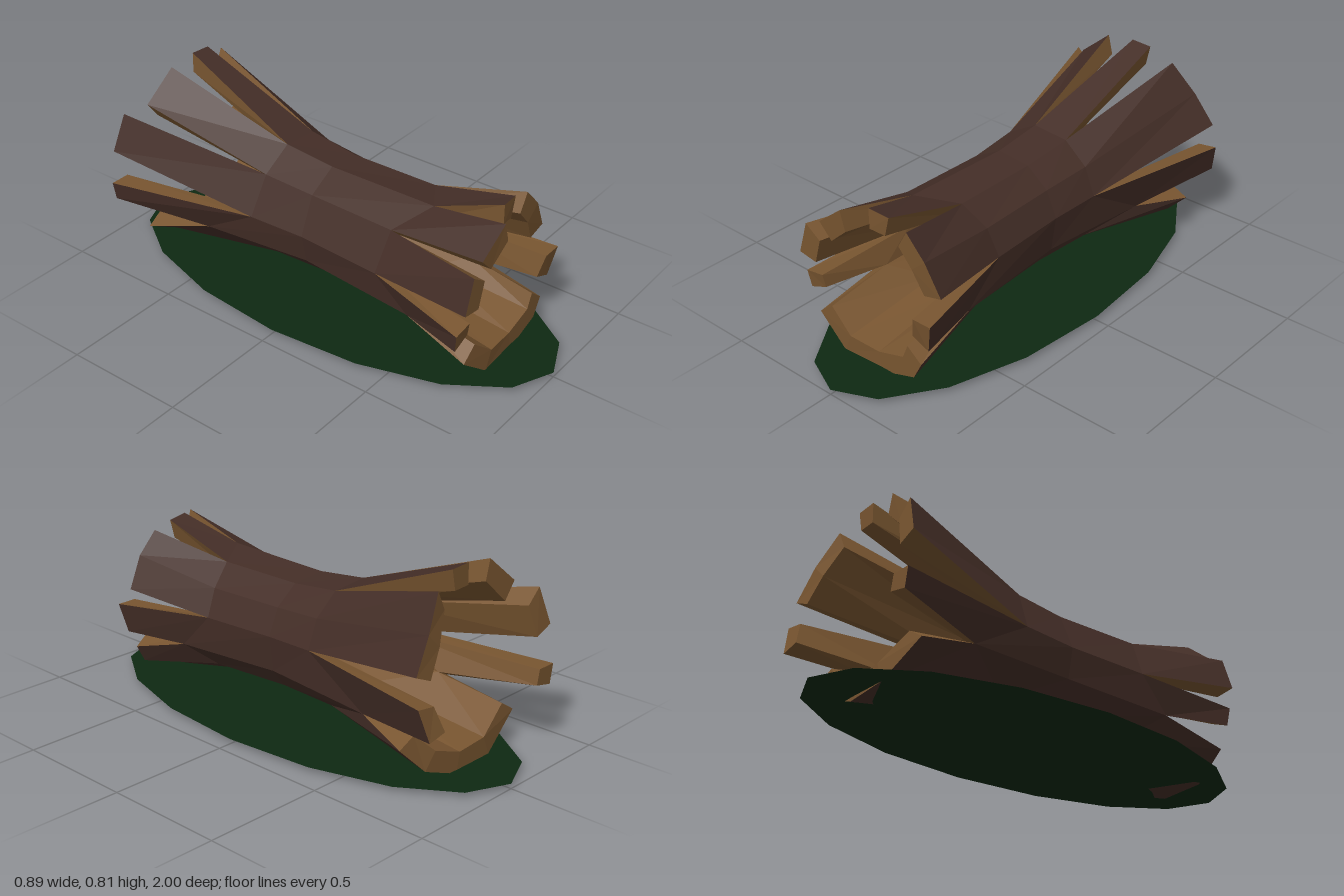
import * as THREE from 'three';

const CX = -0.01, CY = 0.335;

// Angles of the lengthwise edges, counter-clockwise as seen from the front
const ANGLES = [-153, -115, -81, -50, -26, 10, 38, 67, 102, 136, 177];

// Ring of outer/inner point pairs; z and radius can vary per edge to set the depth of each split
function ring(cy, zs, rs, wall) {
  return ANGLES.map((deg, i) => {
    const a = THREE.MathUtils.degToRad(deg);
    const at = (r) => [CX + r * Math.cos(a), cy + r * Math.sin(a), zs[i]];
    return { o: at(rs[i]), i: at(rs[i] - wall) };
  });
}

// Splinter end: outer points are given, inner ones lie one thickness nearer the axis
function endPoints(points) {
  return points.map(([x, y, z]) => {
    const d = Math.hypot(x - CX, y - CY), k = (d - 0.085) / d;
    return { o: [x, y, z], i: [CX + (x - CX) * k, CY + (y - CY) * k, z] };
  });
}

function quadMesh(name, quads, material) {
  const pos = quads.flatMap(([a, b, c, d]) => [a, b, c, a, c, d]).flat();
  const geo = new THREE.BufferGeometry();
  geo.setAttribute('position', new THREE.Float32BufferAttribute(pos, 3));
  geo.computeVertexNormals();
  const mesh = new THREE.Mesh(geo, material);
  mesh.name = name;
  return mesh;
}

// Curved wall between a front and a back row of point pairs
function wall(name, F, B, mats, cap) {
  const outer = [], inner = [];
  for (let n = 0; n < F.length - 1; n++) {
    const m = n + 1;
    outer.push([F[n].o, B[n].o, B[m].o, F[m].o]);
    inner.push([F[n].i, F[m].i, B[m].i, B[n].i]);
    if (cap === 'front') inner.push([F[n].o, F[m].o, F[m].i, F[n].i]);
    if (cap === 'back') inner.push([B[n].o, B[n].i, B[m].i, B[m].o]);
  }
  if (cap) {
    const e = F.length - 1;
    inner.push([F[0].o, F[0].i, B[0].i, B[0].o]);
    inner.push([F[e].o, B[e].o, B[e].i, F[e].i]);
  }
  const group = new THREE.Group();
  group.name = name;
  group.add(quadMesh(name + 'Bark', outer, mats.bark), quadMesh(name + 'Wood', inner, mats.wood));
  return group;
}

// Splinters: first edge index, front end and back end outer points
const SPLINTERS = [
  { name: 'bottom', start: 0,
    front: [[-0.28, 0.125, 0.78], [-0.14, 0.015, 0.79], [0.045, 0, 0.78], [0.21, 0.055, 0.78], [0.25, 0.13, 0.78]],
    back: [[-0.325, 0.135, -0.76], [-0.14, 0.02, -0.79], [0.05, 0.005, -0.79], [0.22, 0.07, -0.78], [0.33, 0.18, -0.75]] },
  { name: 'lowerLeftSide', start: 4,
    front: [[0.29, 0.21, 0.78], [0.32, 0.335, 0.8]],
    back: [[0.35, 0.265, -0.9], [0.38, 0.39, -0.87]] },
  { name: 'upperLeftSide', start: 5,
    front: [[0.31, 0.415, 0.73], [0.245, 0.545, 0.74], [0.16, 0.635, 0.74]],
    back: [[0.37, 0.5, -0.85], [0.285, 0.625, -0.83], [0.19, 0.75, -0.79]] },
  { name: 'top', start: 7,
    front: [[0.075, 0.66, 0.74], [-0.015, 0.67, 0.75]],
    back: [[0.09, 0.8, -0.77], [0, 0.805, -0.77]] },
  { name: 'upperRight', start: 8,
    front: [[-0.1, 0.655, 0.81], [-0.225, 0.555, 0.8]],
    back: [[-0.125, 0.79, -0.77], [-0.265, 0.675, -0.78]] },
  { name: 'rightSide', start: 9,
    front: [[-0.29, 0.525, 0.81], [-0.335, 0.385, 0.81]],
    back: [[-0.34, 0.645, -0.84], [-0.395, 0.49, -0.86]] },
  { name: 'lowerRightSide', start: 10,
    front: [[-0.34, 0.285, 0.78], [-0.33, 0.21, 0.77]],
    back: [[-0.4, 0.335, -0.88], [-0.385, 0.255, -0.88]] },
];

export function createModel() {
  const mat = (name, color) => new THREE.MeshStandardMaterial({ name, color });
  const mats = { bark: mat('bark', 0x442e27), wood: mat('wood', 0x785530) };
  const moss = mat('moss', 0x0e2912);
  moss.side = THREE.DoubleSide;

  const model = new THREE.Group();
  model.name = 'hollowLog';

  // Middle of the trunk
  const front = ring(0.328, [0.5, 0.36, 0.36, 0.38, 0.5, 0.34, 0.35, 0.38, 0.48, 0.38, 0.36],
    [0.27, 0.25, 0.247, 0.25, 0.265, 0.25, 0.25, 0.255, 0.262, 0.255, 0.255], 0.055);
  const middle = ring(0.338, ANGLES.map(() => 0), ANGLES.map(() => 0.243), 0.043);
  const back = ring(0.343, [-0.48, -0.24, -0.24, -0.26, -0.5, -0.22, -0.22, -0.22, -0.22, -0.22, -0.24],
    [0.285, 0.255, 0.255, 0.255, 0.285, 0.255, 0.26, 0.265, 0.262, 0.26, 0.26], 0.055);
  const close = (r) => [...r, r[0]];
  model.add(wall('trunkFront', close(front), close(middle), mats));
  model.add(wall('trunkBack', close(middle), close(back), mats));

  // Flared splinters at both ends
  for (const s of SPLINTERS) {
    const part = (r) => close(r).slice(s.start, s.start + s.front.length);
    model.add(wall(s.name + 'FrontSplinter', endPoints(s.front), part(front), mats, 'front'));
    model.add(wall(s.name + 'BackSplinter', part(back), endPoints(s.back), mats, 'back'));
  }

  // Flat oval moss patch underneath
  const patch = new THREE.Mesh(new THREE.CircleGeometry(1, 16), moss);
  patch.name = 'mossPatch';
  patch.rotation.x = -Math.PI / 2;
  patch.scale.set(0.445, 1, 1);
  patch.position.y = 0.02;
  model.add(patch);

  return model;
}
